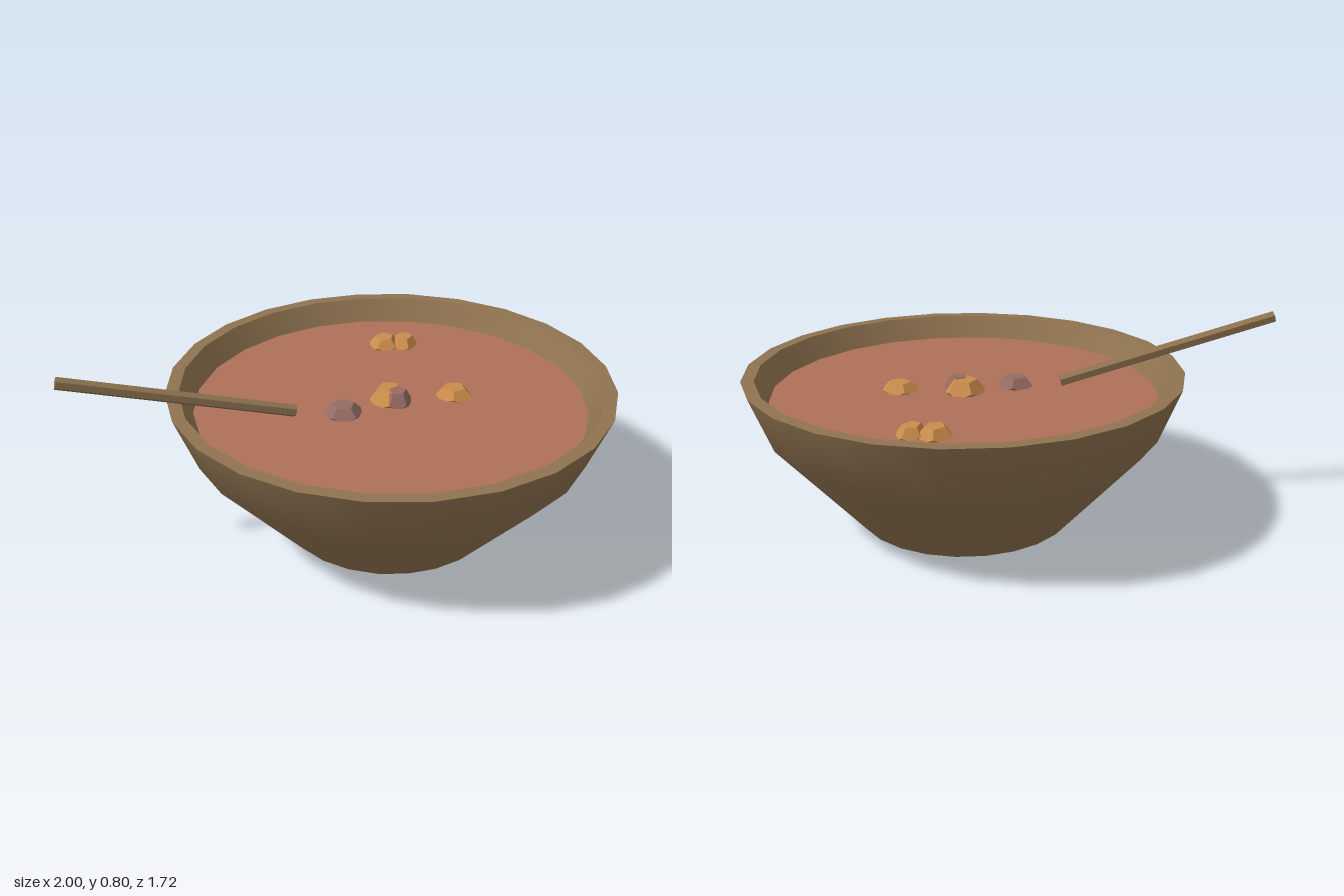
import * as THREE from 'three';
import { toCreasedNormals } from 'three/addons/utils/BufferGeometryUtils.js';

const CX = 0.135, SIDES = 24, SOUP_Y = 0.515;

function material(name, color) {
  const m = new THREE.MeshStandardMaterial({ color });
  m.name = name;
  return m;
}

export function createModel() {
  const model = new THREE.Group();
  model.name = 'soupBowl';
  const wood = material('brown wood', 0x8f7350);
  const broth = material('red brown broth', 0xae7059);
  const orange = material('orange vegetable', 0xc98b4b);
  const mauve = material('mauve meat', 0x946b62);

  const add = (parent, name, geometry, mat) => {
    const mesh = new THREE.Mesh(geometry, mat);
    mesh.name = name;
    parent.add(mesh);
    return mesh;
  };

  // Bowl: one lathe per surface keeps the rim and foot edges sharp
  const bowl = new THREE.Group();
  bowl.name = 'bowl';
  bowl.position.x = CX;
  model.add(bowl);
  const profiles = {
    bowlBase: [[0, 0], [0.43, 0]],
    bowlOuterWall: [[0.43, 0], [0.775, 0.39], [0.86, 0.605]],
    bowlRim: [[0.86, 0.605], [0.81, 0.605]],
    bowlInnerWall: [[0.81, 0.605], [0.755, SOUP_Y - 0.01]],
  };
  for (const [name, points] of Object.entries(profiles)) {
    const profile = points.map(([r, y]) => new THREE.Vector2(r, y));
    add(bowl, name, new THREE.LatheGeometry(profile, SIDES), wood);
  }

  // Broth surface
  const surface = new THREE.CircleGeometry(0.762, SIDES).rotateX(-Math.PI / 2);
  add(bowl, 'broth', surface, broth).position.y = SOUP_Y;

  // Spoon handle leaning over the rim
  const top = new THREE.Vector3(-0.99, 0.78, 0.515);
  const tip = new THREE.Vector3(-0.21, 0.538, 0.17);
  const axis = top.clone().sub(tip);
  const stick = new THREE.CylinderGeometry(0.024, 0.024, axis.length(), 6);
  const handle = add(model, 'stirringStick', toCreasedNormals(stick, 0.6), wood);
  handle.position.copy(top).add(tip).multiplyScalar(0.5);
  handle.quaternion.setFromUnitVectors(new THREE.Vector3(0, 1, 0), axis.normalize());

  // Floating chunks: x, z, half width, half depth, height above the broth, turn
  const chunks = [
    [0.06, -0.505, 0.065, 0.072, 0.038, 0.3, orange],
    [0.143, -0.522, 0.055, 0.07, 0.038, 1.1, orange],
    [0.13, -0.012, 0.082, 0.085, 0.05, 0.7, orange],
    [0.378, -0.078, 0.075, 0.07, 0.035, 1.9, orange],
    [-0.033, 0.124, 0.075, 0.075, 0.038, 0.2, mauve],
    [0.165, 0.012, 0.055, 0.062, 0.053, 1.4, mauve],
  ];
  for (const [x, z, w, d, h, turn, mat] of chunks) {
    // Lay one face nearly level before turning and flattening the chunk
    const geo = new THREE.DodecahedronGeometry(1).rotateX(0.5536).rotateY(turn);
    geo.scale(w, h / 0.8, d);
    add(model, 'chunk', toCreasedNormals(geo, 0.75), mat).position.set(x, SOUP_Y, z);
  }
  return model;
}
